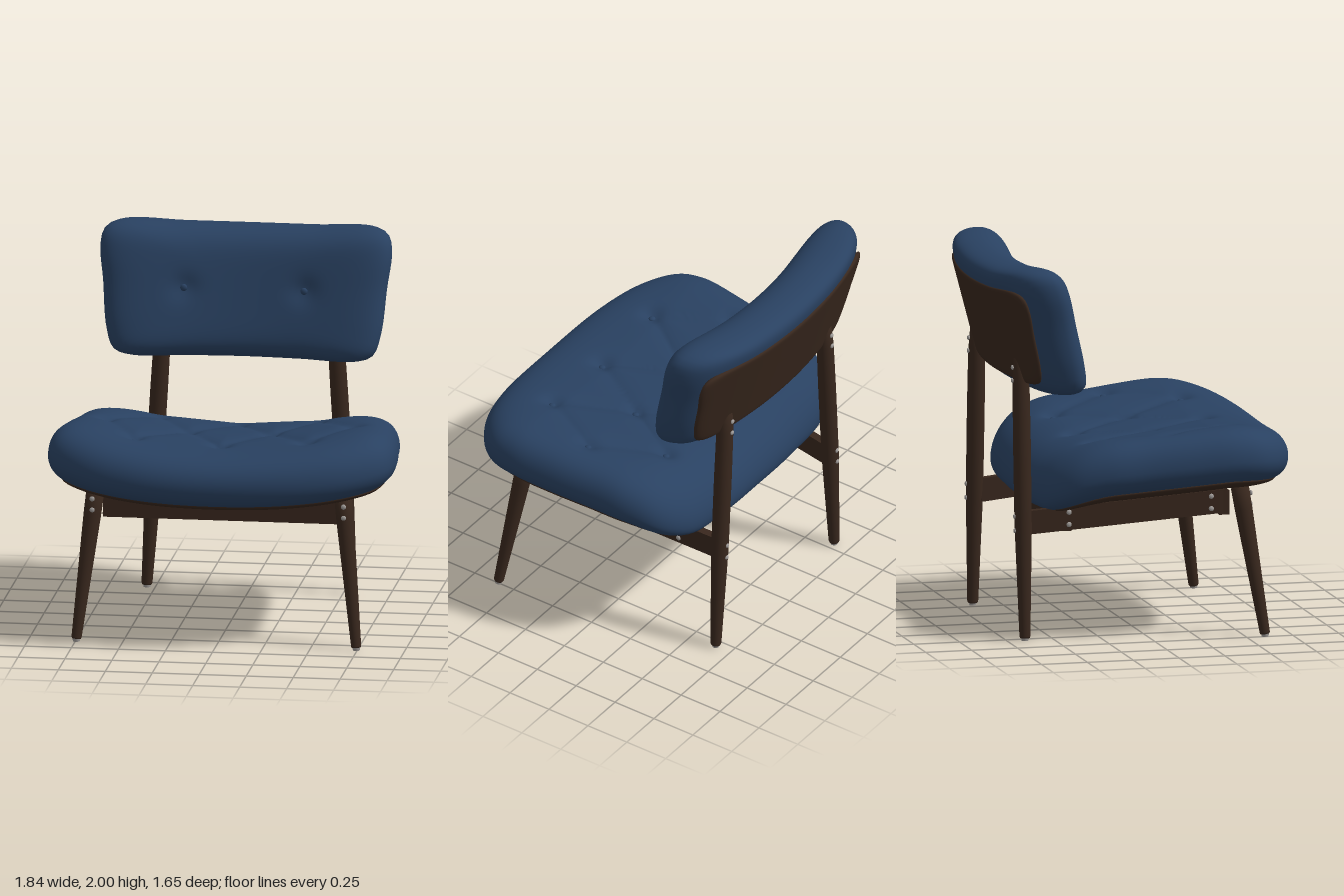
import * as THREE from 'three';
import { mergeVertices } from 'three/addons/utils/BufferGeometryUtils.js';

const fabric = new THREE.MeshStandardMaterial({ name: 'blue fabric', color: 0x294161 });
const wood = new THREE.MeshStandardMaterial({ name: 'dark wood', color: 0x38271d });
const metal = new THREE.MeshStandardMaterial({ name: 'grey metal', color: 0x9e9a97 });

const v3 = (x, y, z) => new THREE.Vector3(x, y, z);

function mesh(parent, name, geometry, material) {
  const m = new THREE.Mesh(geometry, material);
  m.name = name;
  parent.add(m);
  return m;
}

// Closed smooth outline from its right half, mirrored across x = 0
function outlineFrom(half, count) {
  const all = [...half, ...half.slice(1, -1).reverse().map(([x, y]) => [-x, y])];
  const curve = new THREE.CatmullRomCurve3(all.map(([x, y]) => v3(x, y, 0)), true, 'centripetal');
  return curve.getSpacedPoints(count).slice(0, count).map((p) => [p.x, p.y]);
}

// Padded slab: rings run from the face centre over the rim to the back centre.
// place(u, v, h) gives the position, with h from 1 (face) to -1 (back).
// Higher powers give a flatter side with a tighter rim.
function slab(outline, cv, [facePower, backPower], rings, place) {
  const pos = [], index = [], n = outline.length;
  for (let i = 0; i <= rings * 2; i++) {
    const r = i === rings * 2 ? 0 : Math.sin((i / (rings * 2)) * Math.PI);
    const h = Math.sign(rings - i) * Math.sqrt(1 - r ** (i < rings ? facePower : backPower));
    for (const [u, v] of outline) pos.push(...place(u * r, cv + (v - cv) * r, h));
  }
  for (let i = 0; i < rings * 2; i++) {
    for (let j = 0; j < n; j++) {
      const k = (j + 1) % n, a = i * n, b = a + n;
      if (i > 0) index.push(a + j, b + k, a + k);
      if (i < rings * 2 - 1) index.push(a + j, b + j, b + k);
    }
  }
  let g = new THREE.BufferGeometry();
  g.setAttribute('position', new THREE.Float32BufferAttribute(pos, 3));
  g.setIndex(index);
  g = mergeVertices(g, 1e-5);
  g.computeVertexNormals();
  return g;
}

// Turned leg: profile of [radius, fraction along the axis]
function turned(parent, name, a, b, profile) {
  const len = a.distanceTo(b);
  const pts = profile.map(([r, t]) => new THREE.Vector2(r, t * len));
  const m = mesh(parent, name, new THREE.LatheGeometry(pts, 20), wood);
  m.position.copy(a);
  m.quaternion.setFromUnitVectors(v3(0, 1, 0), b.clone().sub(a).normalize());
}

function beam(parent, name, a, b, w, h) {
  const m = mesh(parent, name, new THREE.BoxGeometry(w, h, a.distanceTo(b)), wood);
  m.position.copy(a).lerp(b, 0.5);
  m.lookAt(b);
}

function knob(parent, name, p, r, scale, material) {
  const m = mesh(parent, name, new THREE.SphereGeometry(r, 14, 10), material);
  m.position.copy(p);
  m.scale.set(...scale);
}

// Tufting layout of the seat
const rows = [
  { z: -0.25, xs: [-0.42, 0, 0.42] },
  { z: 0.085, xs: [-0.66, -0.22, 0.22, 0.66] },
  { z: 0.455, xs: [-0.46, 0, 0.46] },
];
const tufts = rows.flatMap((row) => row.xs.map((x) => [x, row.z]));
const creases = [];
for (const row of [rows[0], rows[2]]) {
  for (const x of row.xs) {
    for (const mx of rows[1].xs) {
      if (Math.abs(mx - x) < 0.3) creases.push([x, row.z, mx, rows[1].z]);
    }
  }
}
function segmentDistance(x, z, [ax, az, bx, bz]) {
  const dx = bx - ax, dz = bz - az;
  const t = THREE.MathUtils.clamp(((x - ax) * dx + (z - az) * dz) / (dx * dx + dz * dz), 0, 1);
  return Math.hypot(x - ax - t * dx, z - az - t * dz);
}
function seatDent(x, z) {
  const d = Math.min(...creases.map((c) => segmentDistance(x, z, c)));
  const k = Math.min(...tufts.map(([tx, tz]) => Math.hypot(x - tx, z - tz)));
  return 0.02 * Math.exp(-d / 0.05) + 0.024 * Math.exp(-((k / 0.05) ** 2));
}

// Middle surface of the seat: dished across, dropping at the back
function seatMid(x, z) {
  const slope = z < 0.4 ? 0.075 * (0.4 - z) : 0;
  const drop = z < -0.2 ? 0.7 * (z + 0.2) ** 2 : 0;
  return 0.9 + 0.065 * (x / 0.9) ** 2 - slope - drop;
}
function seatSurface(x, z, h) {
  if (h <= 0) return seatMid(x, z) + 0.13 * h;
  return seatMid(x, z) + (0.16 + 0.06 * (x / 0.8) ** 2) * h - seatDent(x, z) * h;
}

// Middle surface of the backrest: curved in plan and leaning back
const backMid = (x, y) => -0.6 + 0.2 * x * x - 0.265 * (y - 1.655);
function backSurface(x, y, h) {
  const k = Math.hypot(Math.abs(x) - 0.32, y - 1.68);
  const dent = h > 0 ? 0.022 * Math.exp(-((k / 0.07) ** 2)) : 0;
  return backMid(x, y) + (h > 0 ? 0.155 : 0.163) * h - dent;
}

export function createModel() {
  const chair = new THREE.Group();
  chair.name = 'chair';

  // Seat cushion, shell and underside plate
  const seatHalf = [[0, 0.83], [0.45, 0.8], [0.72, 0.71], [0.88, 0.57], [0.92, 0.42], [0.91, 0.2],
    [0.88, -0.05], [0.85, -0.28], [0.77, -0.45], [0.62, -0.54], [0.3, -0.56], [0, -0.56]];
  const seatOutline = outlineFrom(seatHalf, 144);
  mesh(chair, 'seatCushion', slab(seatOutline, 0.12, [7, 12], 60, (x, z, h) => [x, seatSurface(x, z, h), z]), fabric);
  const shellOutline = seatOutline.map(([x, z]) => [x * 0.93, 0.12 + (z - 0.12) * 0.91]);
  mesh(chair, 'seatShell', slab(shellOutline, 0.12, [20, 6], 18,
    (x, z, h) => [x, seatMid(x, z) - 0.105 + (h > 0 ? 0.01 : 0.048) * h, z]), wood);
  const plate = new THREE.BoxGeometry(0.7, 0.006, 0.4, 12, 1, 8).translate(0, 0, 0.12);
  const pp = plate.attributes.position;
  for (let i = 0; i < pp.count; i++) pp.setY(i, pp.getY(i) + seatMid(pp.getX(i), pp.getZ(i)) - 0.155);
  plate.computeVertexNormals();
  mesh(chair, 'undersidePlate', plate, metal);
  for (const [x, z] of tufts) {
    const h = Math.sqrt(1 - (Math.abs(x) / 0.9) ** 7);
    knob(chair, 'seatButton', v3(x, seatSurface(x, z, h) + 0.004, z), 0.019, [1, 0.6, 1], fabric);
  }

  // Backrest cushion and rear panel
  const backHalf = [[0, 1.31], [0.3, 1.31], [0.6, 1.315], [0.69, 1.35], [0.73, 1.46], [0.755, 1.7],
    [0.775, 1.88], [0.755, 1.965], [0.68, 2.0], [0.35, 1.985], [0, 1.98]];
  const backOutline = outlineFrom(backHalf, 120);
  mesh(chair, 'backCushion', slab(backOutline, 1.655, [6, 9], 36, (x, y, h) => [x, y, backSurface(x, y, h)]), fabric);
  const panelOutline = backOutline.map(([x, y]) => [x * 0.93, 1.625 + (y - 1.655) * 0.74]);
  mesh(chair, 'backPanel', slab(panelOutline, 1.625, [20, 30], 18,
    (x, y, h) => [x, y, backMid(x, y) - 0.15 + 0.024 * h]), wood);

  for (const s of [-1, 1]) {
    knob(chair, 'backButton', v3(s * 0.32, 1.68, backSurface(0.32, 1.68, 1) + 0.004), 0.019, [1, 1, 0.6], fabric);

    // Legs and foot glides
    const frontFoot = v3(s * 0.745, 0.014, 0.6), frontTop = v3(s * 0.66, 0.79, 0.485);
    turned(chair, 'frontLeg', frontFoot, frontTop,
      [[0, 0], [0.023, 0], [0.027, 0.01], [0.047, 0.85], [0.048, 1], [0, 1]]);
    const rearFoot = v3(s * 0.545, 0.014, -0.656), rearTop = v3(s * 0.452, 1.53, -0.656);
    turned(chair, 'rearLeg', rearFoot, rearTop,
      [[0, 0], [0.025, 0], [0.029, 0.006], [0.046, 0.4], [0.047, 0.7], [0.045, 0.9], [0.037, 0.98], [0, 1]]);
    for (const p of [frontFoot, rearFoot]) {
      const glide = mesh(chair, 'footGlide', new THREE.CylinderGeometry(0.021, 0.018, 0.018, 16), metal);
      glide.position.set(p.x, 0.009, p.z);
    }

    // Side rail
    const railFront = v3(s * 0.605, 0.715, 0.43), railRear = v3(s * 0.5, 0.625, -0.63);
    beam(chair, 'sideRail', railFront, railRear, 0.045, 0.125);

    // Screw heads
    for (const z of [0.34, -0.415]) {
      const p = railFront.clone().lerp(railRear, (0.43 - z) / 1.06);
      for (const dy of [-0.033, 0.033]) {
        knob(chair, 'railScrew', v3(p.x + s * 0.023, p.y + dy, z), 0.014, [0.6, 1, 1], metal);
      }
    }
    for (const y of [0.7, 0.76]) knob(chair, 'frontLegScrew', v3(s * 0.669, y, 0.543), 0.014, [1, 1, 0.6], metal);
    for (const y of [0.585, 0.66, 1.38, 1.45]) {
      knob(chair, 'rearLegScrew', v3(s * (0.545 - 0.061 * y), y, -0.702), 0.013, [1, 1, 0.6], metal);
    }
  }

  // Cross rails between the side rails
  beam(chair, 'frontCrossRail', v3(-0.625, 0.705, 0.41), v3(0.625, 0.705, 0.41), 0.055, 0.13);
  beam(chair, 'rearCrossRail', v3(-0.51, 0.63, -0.415), v3(0.51, 0.63, -0.415), 0.045, 0.12);

  return chair;
}
